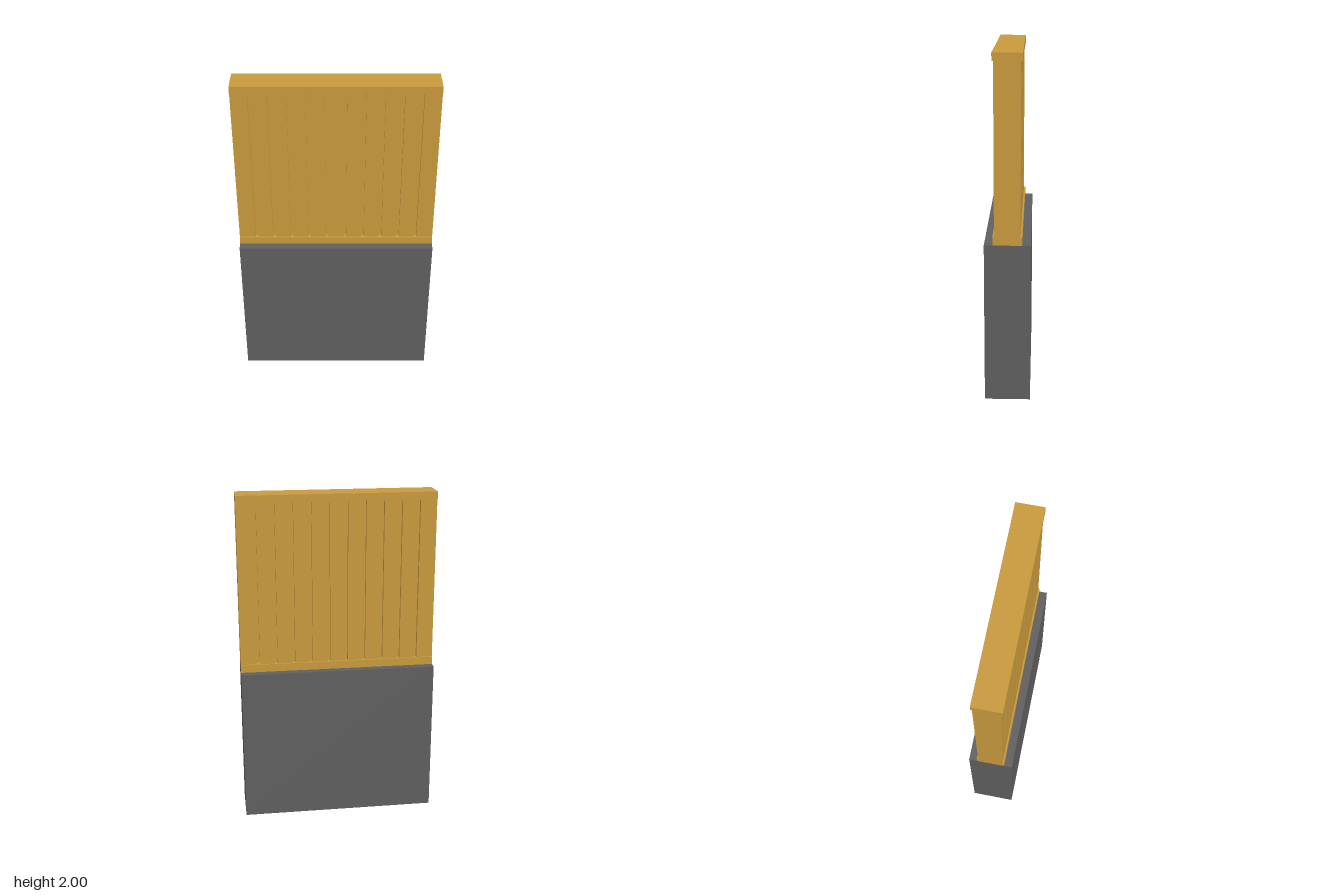
import * as THREE from 'three';

const HALF = 0.587;        // half length of the wall
const BASE_TOP = 0.937;
const RAIL_LOW = 0.984;    // top of the bottom rail
const RAIL_HIGH = 1.956;   // underside of the top rail
const HEIGHT = 2;

const wood = new THREE.MeshStandardMaterial({ color: 0xc8993c });
const stone = new THREE.MeshStandardMaterial({ color: 0x5f5f5f, side: THREE.DoubleSide });

function addMesh(group, name, geometry, material) {
  const mesh = new THREE.Mesh(geometry, material);
  mesh.name = name;
  group.add(mesh);
  return mesh;
}

// Block spanning the full length between two heights
function slab(y0, y1, depth) {
  return new THREE.BoxGeometry(HALF * 2, y1 - y0, depth).translate(0, (y0 + y1) / 2, 0);
}

// Plan outline of the panel: ten vertical grooves on both faces
function panelGeometry() {
  const face = 0.074, floor = 0.052, pitch = 0.1068, w = 0.009, count = 10;
  const side = [[-HALF, -face]];
  for (let i = 0; i < count; i++) {
    const x = (i - (count - 1) / 2) * pitch;
    side.push([x - w, -face], [x - w, -floor], [x + w, -floor], [x + w, -face]);
  }
  side.push([HALF, -face]);
  const outline = [...side, ...side.map(([x, z]) => [-x, -z])];
  const shape = new THREE.Shape(outline.map(([x, z]) => new THREE.Vector2(x, z)));
  return new THREE.ExtrudeGeometry(shape, { depth: RAIL_HIGH - RAIL_LOW, bevelEnabled: false })
    .rotateX(-Math.PI / 2)
    .translate(0, RAIL_LOW, 0);
}

export function createModel() {
  const group = new THREE.Group();
  group.name = 'panelledWall';

  // Hollow plinth, open underneath
  const base = slab(0, BASE_TOP, 0.262);
  const index = Array.from(base.index.array);
  index.splice(18, 6); // drop the underside
  base.setIndex(index);
  base.clearGroups();
  addMesh(group, 'base', base, stone);

  // Wooden screen standing on the plinth
  addMesh(group, 'bottomRail', slab(BASE_TOP, RAIL_LOW, 0.166), wood);
  addMesh(group, 'groovedPanel', panelGeometry(), wood);
  addMesh(group, 'topRail', slab(RAIL_HIGH, HEIGHT, 0.166), wood);

  return group;
}
